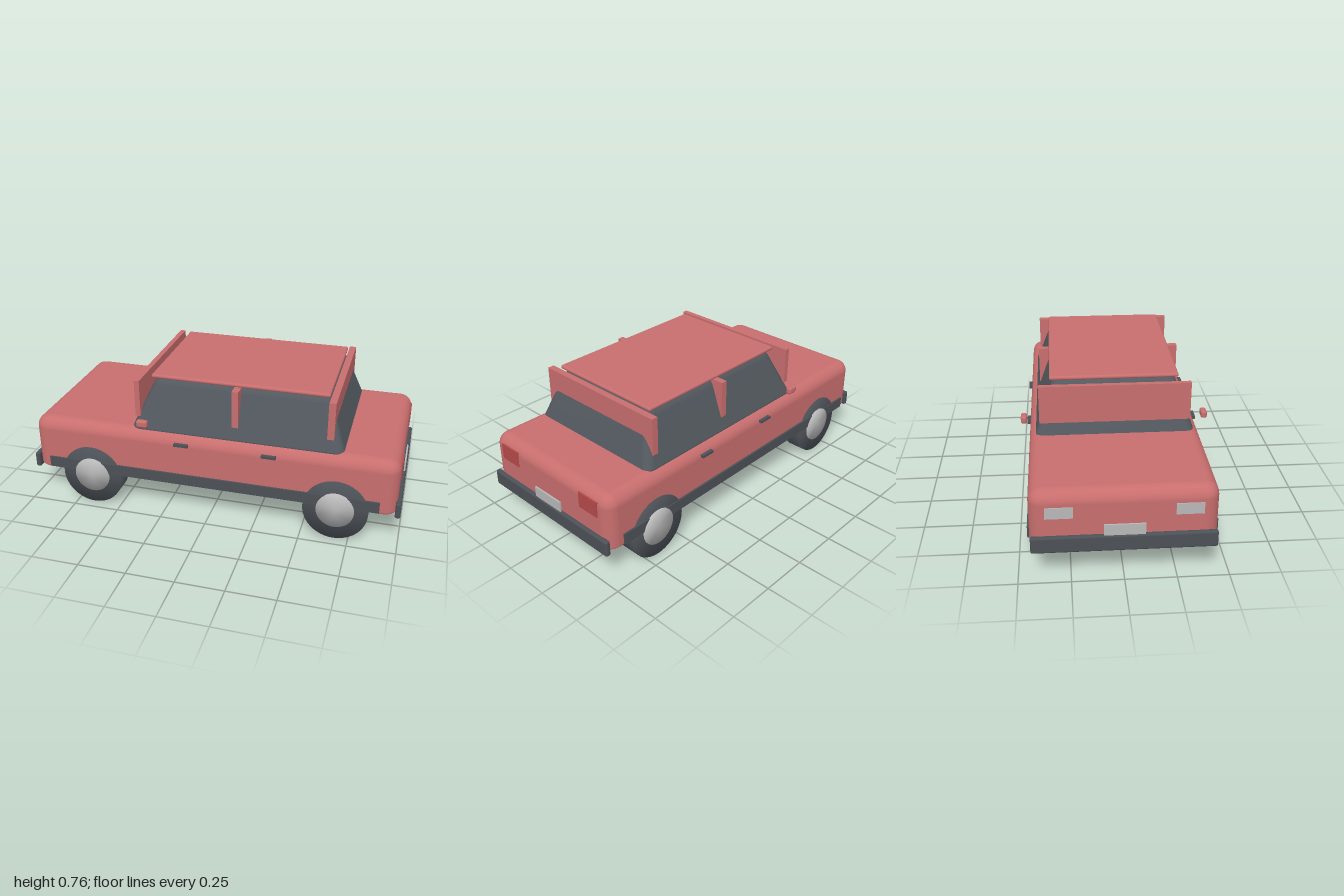
import * as THREE from 'three';
import { RoundedBoxGeometry } from 'three/addons/geometries/RoundedBoxGeometry.js';
import { mergeVertices } from 'three/addons/utils/BufferGeometryUtils.js';

const material = (name, color) => Object.assign(new THREE.MeshStandardMaterial({ color }), { name });

// Share vertices so that shading runs smoothly over the edges
function smooth(geometry) {
  geometry.deleteAttribute('normal');
  geometry.deleteAttribute('uv');
  const merged = mergeVertices(geometry, 1e-4);
  merged.clearGroups();
  merged.computeVertexNormals();
  return merged;
}

export function createModel() {
  const car = new THREE.Group();
  car.name = 'car';
  const paint = material('red paint', 0xc86e6e);
  const glass = material('dark glass', 0x53595f);
  const rubber = material('dark trim', 0x4c5157);
  const silver = material('silver', 0xb8b8b8);
  const lampRed = material('lamp red', 0xb54a4a);

  const add = (name, geometry, mat) => {
    const mesh = new THREE.Mesh(geometry, mat);
    mesh.name = name;
    car.add(mesh);
    return mesh;
  };

  // Box given by its limits, with optional rounded edges
  const box = (name, mat, [x0, x1], [y0, y1], [z0, z1], radius = 0) => {
    const size = [x1 - x0, y1 - y0, z1 - z0];
    const geometry = radius
      ? new RoundedBoxGeometry(...size, 4, radius)
      : new THREE.BoxGeometry(...size);
    const mesh = add(name, geometry, mat);
    mesh.position.set((x0 + x1) / 2, (y0 + y1) / 2, (z0 + z1) / 2);
    return mesh;
  };

  // Lower body, with tighter rounding along the bottom
  const body = box('body', paint, [-0.98, 0.98], [0.163, 0.475], [-0.44, 0.44], 0.065);
  const bodyPos = body.geometry.attributes.position;
  for (let i = 0; i < bodyPos.count; i++) {
    const h = bodyPos.getY(i) + 0.156;
    if (h < 0.066) bodyPos.setY(i, h * 0.5 - 0.156);
  }

  // Glass cabin, tapering from the waistline to the roof
  const cabin = new RoundedBoxGeometry(1.12, 0.31, 0.81, 5, 0.045);
  const cabinPos = cabin.attributes.position;
  for (let i = 0; i < cabinPos.count; i++) {
    const t = Math.max(0, (cabinPos.getY(i) + 0.11) / 0.265);
    const x = cabinPos.getX(i);
    cabinPos.setX(i, x - Math.sign(x) * t * (x < 0 ? 0.115 : 0.1));
    cabinPos.setZ(i, cabinPos.getZ(i) * (1 - 0.24 * t));
  }
  add('cabin', smooth(cabin), glass).position.set(0.135, 0.587, 0);

  // Roof panel and the three full-width pillar frames
  box('roof', paint, [-0.33, 0.602], [0.735, 0.756], [-0.33, 0.33], 0.01);
  box('frontPillars', paint, [-0.406, -0.378], [0.535, 0.735], [-0.385, 0.385]);
  box('middlePillars', paint, [0.115, 0.15], [0.535, 0.735], [-0.385, 0.385]);
  box('rearPillars', paint, [0.605, 0.64], [0.535, 0.735], [-0.385, 0.385]);

  // Bumpers and number plates at both ends
  for (const [end, s] of [['front', -1], ['rear', 1]]) {
    const span = (a, b) => (s > 0 ? [a, b] : [-b, -a]);
    box(end + 'Bumper', rubber, span(0.972, 1), [0.165, 0.25], [-0.435, 0.435], 0.01);
    box(end + 'Plate', silver, span(0.986, 0.994), [0.2, 0.306], [-0.097, 0.097]);
  }

  const tyre = smooth(new THREE.CylinderGeometry(0.168, 0.168, 0.105, 48).rotateX(Math.PI / 2));
  const hub = smooth(new THREE.CylinderGeometry(0.098, 0.098, 0.112, 40).rotateX(Math.PI / 2));

  for (const s of [1, -1]) {
    const side = s > 0 ? 'near' : 'far';
    const span = (a, b) => (s > 0 ? [a, b] : [-b, -a]);

    // Lamps
    box(side + 'Headlight', silver, [-0.984, -0.976], [0.342, 0.4], span(0.235, 0.365));
    box(side + 'TailLight', lampRed, [0.976, 0.984], [0.35, 0.436], span(0.235, 0.364));

    // Side strip, door handles and mirror
    box(side + 'SideStrip', rubber, [-0.9, 0.895], [0.19, 0.25], span(0.436, 0.45));
    for (const x of [-0.14, 0.323])
      box(side + 'DoorHandle', rubber, [x - 0.038, x + 0.038], [0.418, 0.432], span(0.436, 0.455));
    box(side + 'Mirror', paint, [-0.37, -0.31], [0.515, 0.555], span(0.448, 0.48), 0.012);

    // Wheels
    for (const x of [-0.655, 0.675]) {
      add(side + 'Tyre', tyre, rubber).position.set(x, 0.168, s * 0.392);
      add(side + 'Hub', hub, silver).position.set(x, 0.17, s * 0.3955);
    }
  }
  return car;
}
